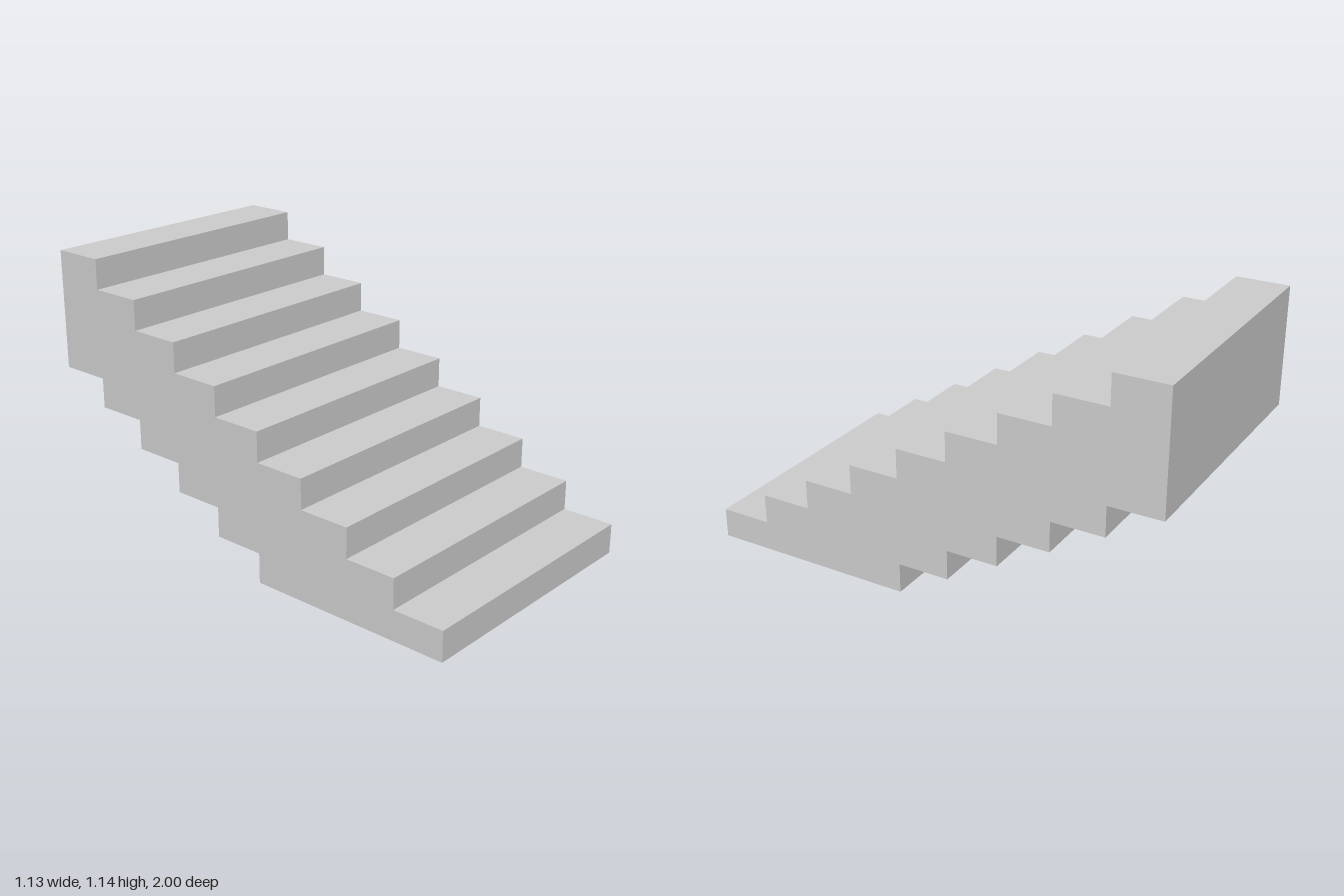
import * as THREE from 'three';

const STEPS = 9;          // steps on the upper side
const UNDER_STEPS = 5;    // steps on the underside
const WIDTH = 1.126;
const RISE = 0.127;
const TREAD = 2 / STEPS;

export function createModel() {
  const group = new THREE.Group();
  group.name = 'staircase';

  // Side profile: shape x becomes z, shape y stays up
  const profile = new THREE.Shape();
  profile.moveTo(1, 0);

  // Risers and treads, climbing from front to back
  for (let i = 0; i < STEPS; i++) {
    profile.lineTo(1 - i * TREAD, (i + 1) * RISE);
    profile.lineTo(1 - (i + 1) * TREAD, (i + 1) * RISE);
  }

  // Stepped underside, descending from back to the flat base
  for (let i = 0; i < UNDER_STEPS; i++) {
    const y = (UNDER_STEPS - i) * RISE;
    profile.lineTo(-1 + i * TREAD, y);
    profile.lineTo(-1 + (i + 1) * TREAD, y);
  }
  profile.lineTo(-1 + UNDER_STEPS * TREAD, 0);
  profile.closePath();

  const geometry = new THREE.ExtrudeGeometry(profile, { depth: WIDTH, bevelEnabled: false });
  geometry.translate(0, 0, -WIDTH / 2);
  geometry.rotateY(-Math.PI / 2);

  const material = new THREE.MeshStandardMaterial({ color: 0xcccccc, flatShading: true });
  const stairs = new THREE.Mesh(geometry, material);
  stairs.name = 'stairFlight';
  group.add(stairs);
  return group;
}
